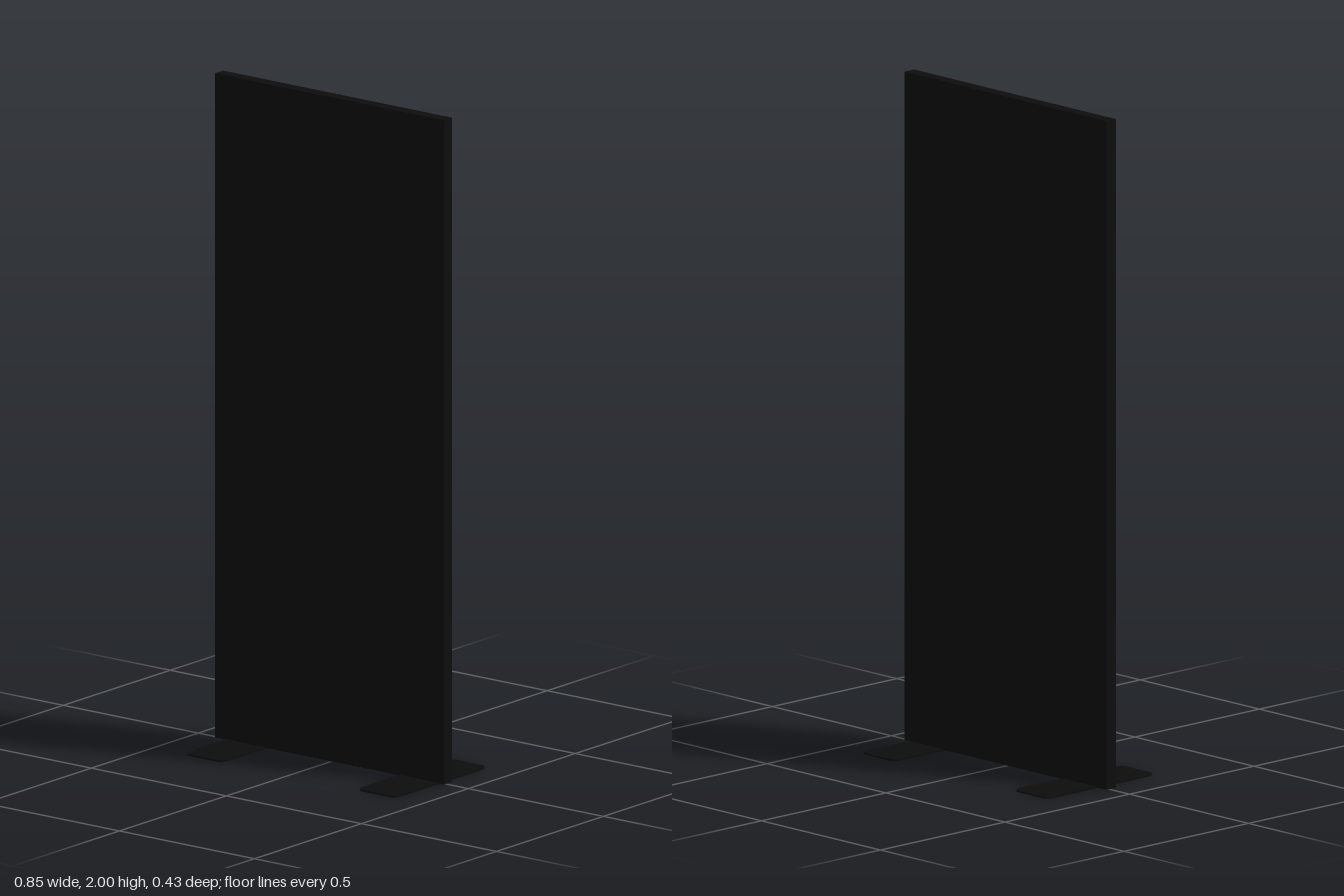
import * as THREE from 'three';

const PANEL = { width: 0.848, depth: 0.038, bottom: 0.003, top: 2 };
const FOOT = { width: 0.143, length: 0.434, height: 0.005, radius: 0.024 };

// Flat plate with rounded corners, lying on y = 0
function plateGeometry({ width, length, height, radius }) {
  const x = width / 2, y = length / 2, r = radius;
  const shape = new THREE.Shape();
  shape.moveTo(-x + r, -y);
  shape.absarc(x - r, -y + r, r, -Math.PI / 2, 0);
  shape.absarc(x - r, y - r, r, 0, Math.PI / 2);
  shape.absarc(-x + r, y - r, r, Math.PI / 2, Math.PI);
  shape.absarc(-x + r, -y + r, r, Math.PI, Math.PI * 1.5);
  const geometry = new THREE.ExtrudeGeometry(shape, {
    depth: height, bevelEnabled: false, curveSegments: 3,
  });
  return geometry.rotateX(-Math.PI / 2);
}

export function createModel() {
  const group = new THREE.Group();
  group.name = 'displayPanel';
  const black = new THREE.MeshStandardMaterial({ color: 0x0d0d0d });

  // Upright board
  const height = PANEL.top - PANEL.bottom;
  const board = new THREE.Mesh(new THREE.BoxGeometry(PANEL.width, height, PANEL.depth), black);
  board.name = 'board';
  board.position.set(0, PANEL.bottom + height / 2, -0.001);
  group.add(board);

  // Thin foot plates, set slightly off centre
  const footGeometry = plateGeometry(FOOT);
  for (const [name, x] of [['rightFoot', -0.31], ['leftFoot', 0.33]]) {
    const foot = new THREE.Mesh(footGeometry, black);
    foot.name = name;
    foot.position.x = x;
    group.add(foot);
  }

  return group;
}
